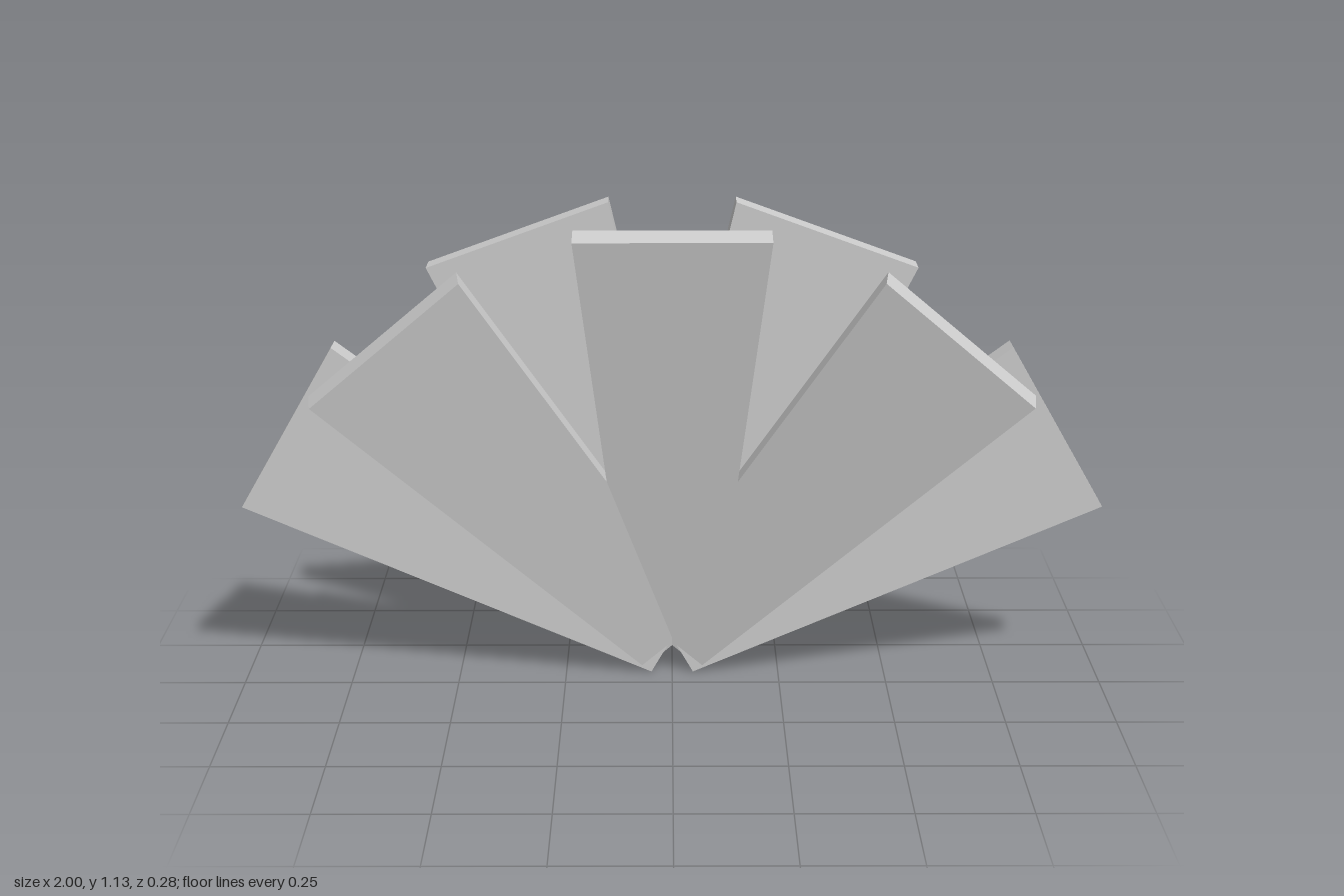
import * as THREE from 'three';

const PIVOT_Y = 0.085, BACK_Z = -0.14;
const LENGTH = 1.028, THICKNESS = 0.07;
const INNER_HALF = 0.098, OUTER_HALF = 0.22;

// Tapered slab standing on the pivot, leaned forward by tilt
function bladeGeometry(tilt) {
  const shape = new THREE.Shape([
    new THREE.Vector2(-INNER_HALF, 0),
    new THREE.Vector2(INNER_HALF, 0),
    new THREE.Vector2(OUTER_HALF, LENGTH),
    new THREE.Vector2(-OUTER_HALF, LENGTH),
  ]);
  return new THREE.ExtrudeGeometry(shape, { depth: THICKNESS, bevelEnabled: false }).rotateX(tilt);
}

export function createModel() {
  const model = new THREE.Group();
  model.name = 'fan';
  const grey = new THREE.MeshStandardMaterial({ color: 0xcccccc, flatShading: true });
  grey.name = 'light grey';

  // Fan blades spread around the shared pivot, angles measured from upright
  function addRow(name, tilt, angles) {
    const row = new THREE.Group();
    row.name = name + 'Row';
    const geometry = bladeGeometry(tilt);
    angles.forEach((angle, i) => {
      const blade = new THREE.Mesh(geometry, grey);
      blade.name = name + (i + 1);
      blade.rotation.z = THREE.MathUtils.degToRad(angle);
      blade.position.set(0, PIVOT_Y, BACK_Z);
      row.add(blade);
    });
    model.add(row);
  }

  addRow('backBlade', 0, [-60, -20, 20, 60]);
  addRow('frontBlade', THREE.MathUtils.degToRad(12), [-40, 0, 40]);
  return model;
}
